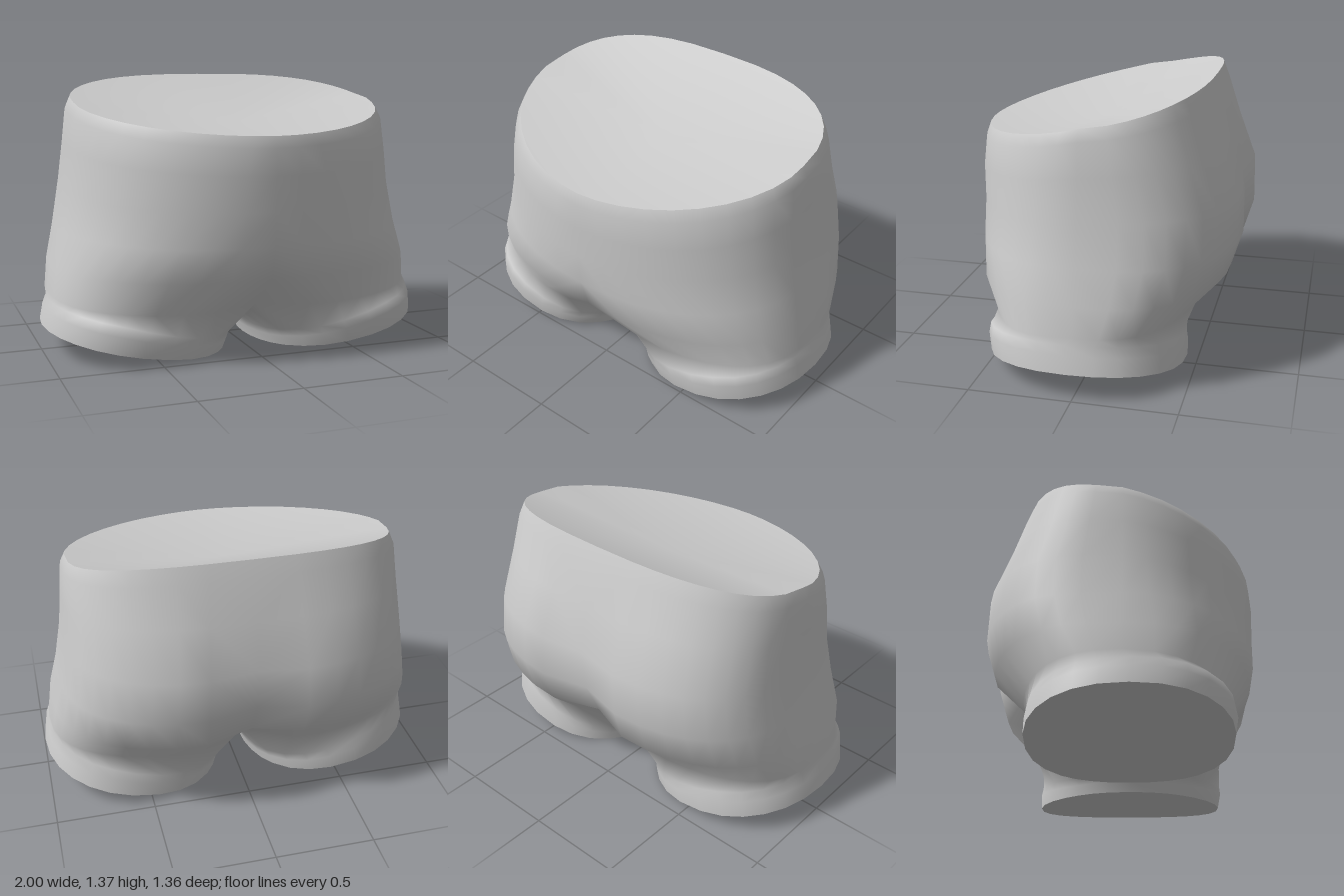
import * as THREE from 'three';
import { mergeVertices } from 'three/addons/utils/BufferGeometryUtils.js';

const N = 20; // segments around the outer half of each side
const M = 8;  // segments along the inner leg

// Hip rows, top to bottom: y front/side/back, half width, front z, back z,
// front roundness, back roundness, front dip, back dip, dip width
const HIP_ROWS = [
  [1.105, 1.245, 1.37, 0.81, 0.655, 0.505, 1.08, 0.74, 0, 0, 0.1],
  [1.05, 1.19, 1.29, 0.836, 0.672, 0.535, 1.05, 0.74, 0, 0, 0.1],
  [0.92, 1.03, 1.09, 0.85, 0.678, 0.6, 1.0, 0.72, 0, 0.005, 0.12],
  [0.75, 0.83, 0.85, 0.87, 0.67, 0.69, 0.98, 0.7, 0, 0.045, 0.16],
  [0.58, 0.62, 0.63, 0.905, 0.665, 0.695, 0.92, 0.7, 0, 0.07, 0.16],
  [0.42, 0.45, 0.45, 0.945, 0.635, 0.645, 0.82, 0.74, 0.015, 0.1, 0.16],
  [0.25, 0.31, 0.3, 0.965, 0.535, 0.5, 0.74, 0.76, 0.13, 0.16, 0.17],
];

// Half loop from front centre round the side to back centre
function hipLoop([yF, yS, yB, a, f, b, pF, pB, dipF, dipB, w]) {
  const pts = [];
  for (let i = 0; i <= N; i++) {
    const t = (Math.PI * i) / N, c = Math.cos(t), s = Math.abs(Math.sin(t));
    const front = c > 0, p = front ? pF : pB, k = Math.abs(c);
    const x = a * Math.pow(s, p);
    const dip = (front ? dipF : dipB) * Math.exp(-((x / w) ** 2));
    const z = ((front ? f : b) * Math.pow(k, p) - dip * k) * (front ? 1 : -1);
    pts.push(new THREE.Vector3(x, yS + ((front ? yF : yB) - yS) * k, z));
  }
  return pts;
}

// Saddle between the legs, from back centre to front centre
function crotchPoints(back, front) {
  const pts = [];
  for (let j = 1; j < M; j++) {
    const u = j / M, p = back.clone().lerp(front, u);
    p.y -= (0.5 * (back.y + front.y) - 0.14) * Math.sin(Math.PI * u);
    p.x = 0;
    pts.push(p);
  }
  return pts;
}

// Closed leg ring, lifted above the slanted hem by an outer and inner amount
function legRing(xIn, xOut, zF, zB, liftOut, liftIn) {
  const pts = [], gap = 0.85;
  for (let i = 0; i < N + M; i++) {
    const a = i <= N
      ? -gap + (i / N) * (Math.PI + 2 * gap)
      : Math.PI + gap + ((i - N) / M) * (Math.PI - 2 * gap);
    const s = Math.sin(a), c = Math.cos(a);
    const x = (xIn + xOut) / 2 + ((xOut - xIn) / 2) * Math.sign(s) * Math.abs(s) ** 0.9;
    const z = (zF + zB) / 2 + ((zF - zB) / 2) * Math.sign(c) * Math.abs(c) ** 0.9;
    const v = THREE.MathUtils.clamp((x - 0.12) / 0.88, 0, 1);
    pts.push(new THREE.Vector3(x, 0.005 + 0.135 * v ** 1.5 + liftIn + (liftOut - liftIn) * Math.min(1, v * 1.6), z));
  }
  return pts;
}

// Collects triangles and mirrors them to the other side
function surface(triangles, mirrored) {
  const pos = [];
  const add = (tri, sx) => tri.forEach((p) => pos.push(p.x * sx, p.y, p.z));
  for (const [a, b, c] of triangles) {
    add([a, b, c], 1);
    if (mirrored) add([a, c, b], -1);
  }
  const g = new THREE.BufferGeometry();
  g.setAttribute('position', new THREE.Float32BufferAttribute(pos, 3));
  const merged = mergeVertices(g, 1e-4);
  merged.computeVertexNormals();
  return merged;
}

function loft(rows, closed) {
  const tris = [];
  for (let r = 0; r < rows.length - 1; r++) {
    const n = rows[r].length, A = rows[r], B = rows[r + 1];
    for (let i = 0; i < (closed ? n : n - 1); i++) {
      const k = (i + 1) % n;
      tris.push([A[i], B[i], B[k]], [A[i], B[k], A[k]]);
    }
  }
  return tris;
}

// Fan across a loop to a given middle point
function fan(loop, mid, up) {
  return loop.map((p, i) => {
    const q = loop[(i + 1) % loop.length];
    return up ? [mid, p, q] : [mid, q, p];
  });
}

export function createModel() {
  const group = new THREE.Group();
  group.name = 'shorts';
  const cloth = new THREE.MeshStandardMaterial({ color: 0xcccccc, side: THREE.DoubleSide });
  cloth.name = 'grey cloth';
  const add = (name, geometry) => {
    const mesh = new THREE.Mesh(geometry, cloth);
    mesh.name = name;
    group.add(mesh);
  };

  // Hips, seat, legs and rolled cuffs as one smooth skin
  const hips = HIP_ROWS.map(hipLoop);
  const last = hips[hips.length - 1];
  const legs = [
    [...last, ...crotchPoints(last[N], last[0])],
    legRing(0.045, 0.968, 0.518, -0.445, 0.14, 0.085),
    legRing(0.06, 0.985, 0.524, -0.455, 0.09, 0.05),
    legRing(0.075, 1.0, 0.51, -0.455, 0, 0),
  ];
  add('shortsBody', surface([...loft(hips, false), ...loft(legs, true)], true));

  // Sunken surface inside the waistband
  const rim = hips[0];
  const otherSide = rim.slice(1, N).reverse().map((p) => new THREE.Vector3(-p.x, p.y, p.z));
  add('waistOpening', surface(fan([...rim, ...otherSide], new THREE.Vector3(0, 1.125, 0.03), true), false));

  // Slightly recessed leg openings
  add('legOpenings', surface(fan(legs[3], new THREE.Vector3(0.5, 0.075, 0.03), false), true));
  return group;
}
